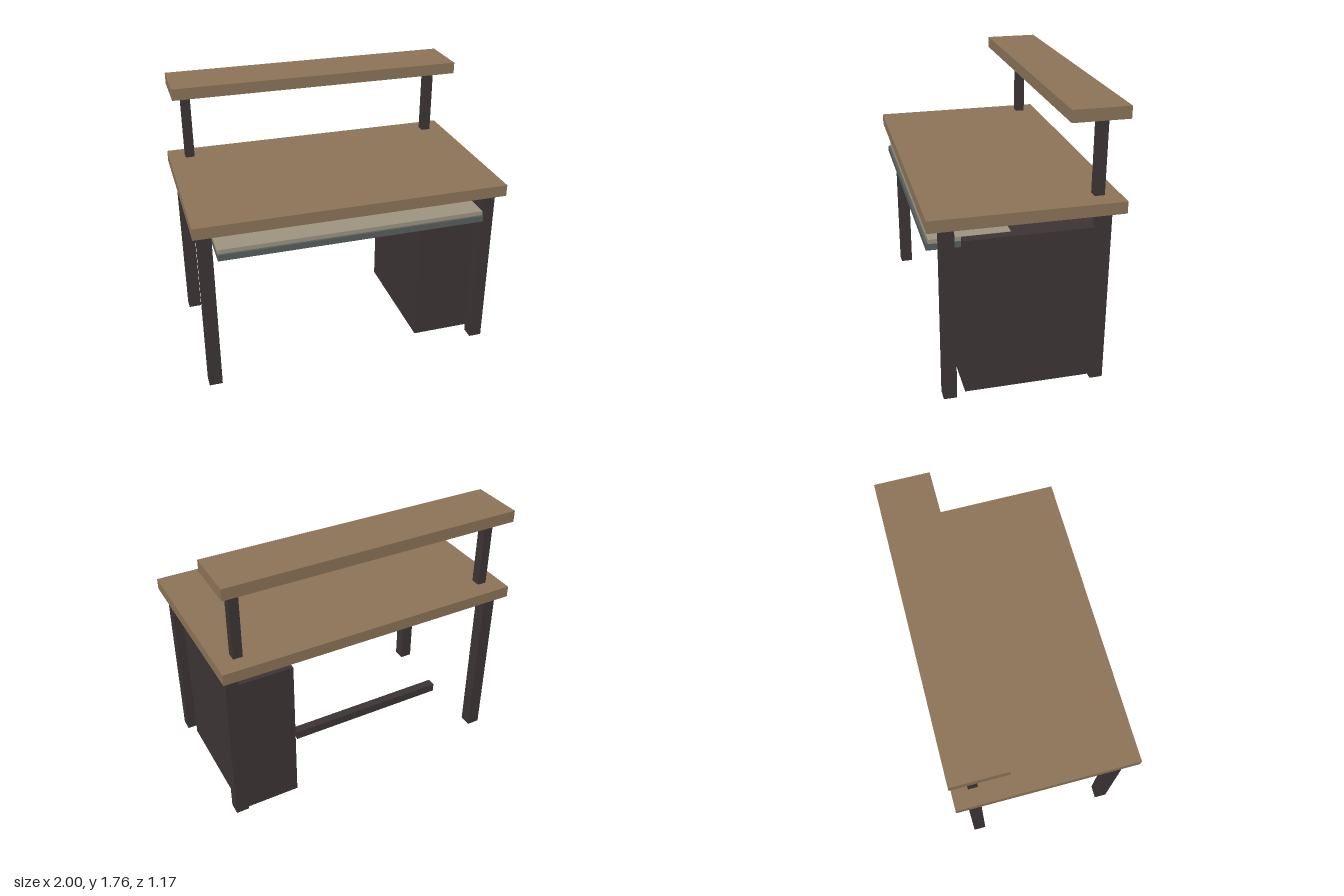
import * as THREE from 'three';

const mat = (name, color) => {
  const m = new THREE.MeshStandardMaterial({ color });
  m.name = name;
  return m;
};

export function createModel() {
  const desk = new THREE.Group();
  desk.name = 'desk';
  const wood = mat('brown wood', 0x8b7357);
  const dark = mat('dark frame', 0x3c3434);
  const grey = mat('grey tray', 0x565e5a);
  const beige = mat('beige tray surface', 0x9c937f);

  // Box given by its extents along each axis
  const box = (name, material, [x0, x1], [y0, y1], [z0, z1]) => {
    const mesh = new THREE.Mesh(new THREE.BoxGeometry(x1 - x0, y1 - y0, z1 - z0), material);
    mesh.position.set((x0 + x1) / 2, (y0 + y1) / 2, (z0 + z1) / 2);
    mesh.name = name;
    desk.add(mesh);
  };

  // Work surface and raised shelf
  box('desktop', wood, [-1, 1], [1.132, 1.207], [-0.585, 0.585]);
  box('upperShelf', wood, [-0.965, 0.965], [1.69, 1.765], [-0.585, -0.235]);

  // Four legs and two shelf posts
  for (const side of [-1, 1]) {
    const x = side * 0.9225;
    for (const z of [-0.465, 0.465]) {
      box('leg', dark, [x - 0.0425, x + 0.0425], [0, 1.132], [z - 0.041, z + 0.041]);
    }
    const px = side * 0.863;
    box('shelfPost', dark, [px - 0.03, px + 0.03], [1.213, 1.69], [-0.482, -0.42]);
  }

  // Cabinet and rear crossbar
  box('cabinet', dark, [0.52, 0.92], [0, 1.025], [-0.49, 0.365]);
  box('crossbar', dark, [-0.52, 0.52], [0.465, 0.52], [-0.515, -0.46]);

  // Sliding keyboard tray
  box('trayBase', grey, [-0.86, 0.86], [0.96, 1.0], [0.055, 0.57]);
  box('traySurface', beige, [-0.86, 0.86], [1.0, 1.027], [0.07, 0.555]);

  return desk;
}
